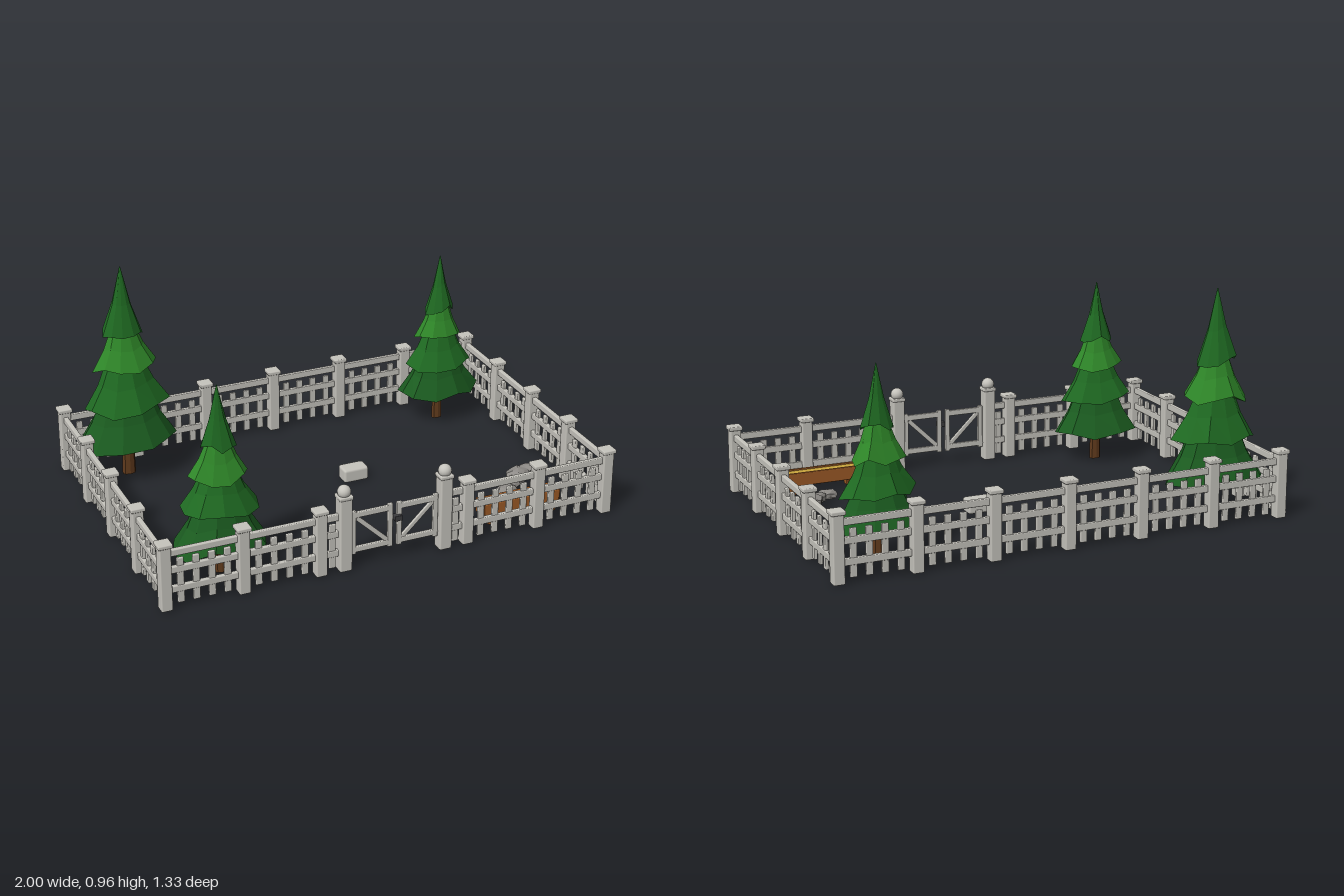
import * as THREE from 'three';
import { RoundedBoxGeometry } from 'three/addons/geometries/RoundedBoxGeometry.js';

const mat = (name, color) => {
  const m = new THREE.MeshStandardMaterial({ color });
  m.name = name;
  return m;
};

const M = {
  stone: mat('paleFence', 0xc6c4bd),
  iron: mat('darkIron', 0x3c3c3e),
  rock: mat('greyRock', 0x8f8c88),
  leaf: mat('pineGreen', 0x1f6a22),
  leafLight: mat('lightPineGreen', 0x2f8829),
  leafDark: mat('deepPineGreen', 0x1b5c20),
  trunk: mat('barkBrown', 0x5f3a1c),
  wood: mat('troughWood', 0x9c5a26),
  straw: mat('straw', 0xc9a53c),
};

function add(parent, name, geo, material, x = 0, y = 0, z = 0) {
  const mesh = new THREE.Mesh(geo, material);
  mesh.name = name;
  mesh.position.set(x, y, z);
  parent.add(mesh);
  return mesh;
}

// Box with chamfered edges
const block = (w, h, d, b = 0.004) => new RoundedBoxGeometry(w, h, d, 1, b);

function group(parent, name, x = 0, y = 0, z = 0) {
  const g = new THREE.Group();
  g.name = name;
  g.position.set(x, y, z);
  parent.add(g);
  return g;
}

function seeded(seed) {
  return () => {
    seed = (seed * 16807) % 2147483647;
    return seed / 2147483647;
  };
}

function fencePost(parent, x, z) {
  const g = group(parent, 'fencePost', x, 0, z);
  add(g, 'postShaft', block(0.048, 0.28, 0.048, 0.006), M.stone, 0, 0.14, 0);
  add(g, 'postCap', block(0.06, 0.018, 0.06, 0.005), M.stone, 0, 0.285, 0);
}

// Rails and pickets between two posts
function fencePanel(parent, x0, z0, x1, z1, pickets) {
  const length = Math.hypot(x1 - x0, z1 - z0);
  const g = group(parent, 'fencePanel', (x0 + x1) / 2, 0, (z0 + z1) / 2);
  g.rotation.y = -Math.atan2(z1 - z0, x1 - x0);
  for (const y of [0.083, 0.168, 0.243]) add(g, 'rail', block(length, 0.029, 0.02), M.stone, 0, y, 0);
  for (let i = 1; i <= pickets; i++) {
    const x = length * (i / (pickets + 1) - 0.5);
    add(g, 'picket', block(0.029, 0.197, 0.014), M.stone, x, 0.1165, 0);
  }
}

function gateLeaf(parent, side) {
  const g = group(parent, side > 0 ? 'leftGateLeaf' : 'rightGateLeaf', side * 0.1, 0, 0.635);
  for (const x of [-0.08, 0.08]) add(g, 'gateStile', block(0.022, 0.195, 0.016), M.stone, x, 0.157, 0);
  for (const y of [0.08, 0.235]) add(g, 'gateRail', block(0.18, 0.025, 0.016), M.stone, 0, y, 0);
  const brace = add(g, 'gateBrace', block(0.2, 0.02, 0.012), M.stone, 0, 0.157, 0);
  brace.rotation.z = side * Math.atan2(0.145, 0.15);
  for (const y of [0.08, 0.235]) add(g, 'hinge', block(0.022, 0.012, 0.01, 0.002), M.stone, side * 0.095, y, 0);
}

// One jagged skirt of branches with a hollowed underside
function skirt(top, bottom, rTop, rBottom, rand) {
  const n = 10, rings = [[], [], []];
  const offset = rand() * 6;
  for (let i = 0; i < n; i++) {
    const a = offset + (i / n) * Math.PI * 2;
    const r = rBottom * (0.9 + 0.18 * rand());
    const y = bottom + (rand() - 0.5) * 0.04;
    const at = (k, h) => [Math.cos(a) * k, h, Math.sin(a) * k];
    rings[0].push(at(rTop, top));
    rings[1].push(at(rTop + (r - rTop) * 0.45, top + (y - top) * 0.55));
    rings[2].push(at(r, y));
  }
  const p = [];
  const crown = [0, top + rTop * 0.3, 0], under = [0, bottom + 0.02, 0];
  for (let i = 0; i < n; i++) {
    const j = (i + 1) % n;
    p.push(...crown, ...rings[0][j], ...rings[0][i]);
    for (let k = 0; k < 2; k++) {
      const [a, b] = [rings[k], rings[k + 1]];
      p.push(...a[i], ...a[j], ...b[i], ...a[j], ...b[j], ...b[i]);
    }
    p.push(...under, ...rings[2][i], ...rings[2][j]);
  }
  const geo = new THREE.BufferGeometry();
  geo.setAttribute('position', new THREE.Float32BufferAttribute(p, 3));
  geo.computeVertexNormals();
  return geo;
}

function pineTree(parent, x, z, height, rx, rz, seed) {
  const g = group(parent, 'pineTree', x, 0, z);
  g.scale.set(rx, 1, rz);
  const rand = seeded(seed);
  add(g, 'trunk', new THREE.CylinderGeometry(0.1, 0.13, height * 0.4, 8).toNonIndexed(), M.trunk, 0, height * 0.2, 0)
    .geometry.computeVertexNormals();
  // top, bottom, top radius, bottom radius, colour
  const tiers = [
    [0.42, 0.17, 0.42, 0.98, M.leafDark],
    [0.58, 0.35, 0.3, 0.79, M.leaf],
    [0.73, 0.525, 0.2, 0.58, M.leafLight],
    [0.995, 0.685, 0.01, 0.37, M.leaf],
  ];
  for (const [t, b, r0, r1, m] of tiers) add(g, 'branches', skirt(t * height, b * height, r0, r1, rand), m);
}

function rock(parent, x, z, rx, ry, rz, turn, seed) {
  const geo = new THREE.IcosahedronGeometry(1, 1);
  const pos = geo.attributes.position, v = new THREE.Vector3();
  for (let i = 0; i < pos.count; i++) {
    v.fromBufferAttribute(pos, i);
    const k = 0.95 + 0.12 * Math.sin(v.x * 5 + seed) * Math.cos(v.z * 4 + v.y * 3 + seed);
    pos.setXYZ(i, v.x * k * rx, Math.max(v.y, -0.6) * k * ry, v.z * k * rz);
  }
  geo.computeVertexNormals();
  add(parent, 'rock', geo, M.rock, x, ry * 0.6 + 0.008, z).rotation.y = turn;
}

function feedTrough(parent) {
  const g = group(parent, 'feedTrough', 0.63, 0, 0.512);
  for (const s of [-1, 1]) {
    add(g, 'sideBoard', block(0.35, 0.058, 0.016), M.wood, 0, 0.066, s * 0.031);
    add(g, 'endBoard', block(0.018, 0.066, 0.07), M.wood, s * 0.172, 0.068, 0);
    for (const f of [-1, 1]) add(g, 'leg', block(0.035, 0.046, 0.034), M.wood, s * 0.14, 0.023, f * 0.024);
  }
  add(g, 'troughFloor', block(0.34, 0.014, 0.06), M.wood, 0, 0.044, 0);
  add(g, 'strawFill', block(0.33, 0.04, 0.05), M.straw, 0, 0.07, 0);
}

export function createModel() {
  const model = new THREE.Group();
  model.name = 'fencedYard';

  // Perimeter fence
  const fence = group(model, 'fence');
  const xs = [-0.97, -0.648, -0.323, 0, 0.323, 0.648, 0.97];
  const zs = [-0.638, -0.32, 0, 0.32, 0.635];
  const [back, front] = [zs[0], zs[4]];
  xs.forEach((x, i) => {
    fencePost(fence, x, back);
    if (x !== 0) fencePost(fence, x, front);
    if (i === 6) return;
    fencePanel(fence, x, back, xs[i + 1], back, 4);
    if (i !== 2 && i !== 3) fencePanel(fence, x, front, xs[i + 1], front, 4);
  });
  for (const x of [xs[0], xs[6]]) {
    zs.forEach((z, i) => {
      if (i > 0 && i < 4) fencePost(fence, x, z);
      if (i < 4) fencePanel(fence, x, z, x, zs[i + 1], 4);
    });
  }

  // Gate with ball-topped posts
  const gate = group(model, 'gate');
  for (const s of [-1, 1]) {
    const post = group(gate, 'gatePost', s * 0.22, 0, front);
    add(post, 'gatePostShaft', block(0.055, 0.325, 0.055, 0.008), M.stone, 0, 0.1625, 0);
    add(post, 'gatePostCollar', block(0.06, 0.016, 0.06, 0.005), M.stone, 0, 0.328, 0);
    add(post, 'gatePostBall', new THREE.SphereGeometry(0.028, 16, 12), M.stone, 0, 0.35, 0);
    fencePanel(gate, s * 0.22, front, s * 0.323, front, 1);
    gateLeaf(gate, s);
  }
  add(gate, 'latch', block(0.034, 0.024, 0.03, 0.003), M.iron, 0.01, 0.188, 0.642);

  // Trees
  pineTree(model, -0.735, -0.495, 0.965, 0.232, 0.157, 11);
  pineTree(model, -0.67, 0.448, 0.817, 0.208, 0.132, 47);
  pineTree(model, 0.731, -0.45, 0.793, 0.194, 0.124, 83);

  // Yard furnishings
  feedTrough(model);
  add(model, 'stoneBlock', block(0.115, 0.062, 0.074, 0.012), M.stone, 0.133, 0.031, -0.052);
  const rocks = group(model, 'rockPile');
  rock(rocks, 0.66, 0.35, 0.053, 0.026, 0.037, 0.1, 1);
  rock(rocks, 0.722, 0.303, 0.058, 0.03, 0.034, 0.5, 2);
  rock(rocks, 0.765, 0.262, 0.062, 0.038, 0.05, 0.3, 3);
  rock(rocks, 0.818, 0.238, 0.056, 0.034, 0.04, 0.1, 4);
  return model;
}
